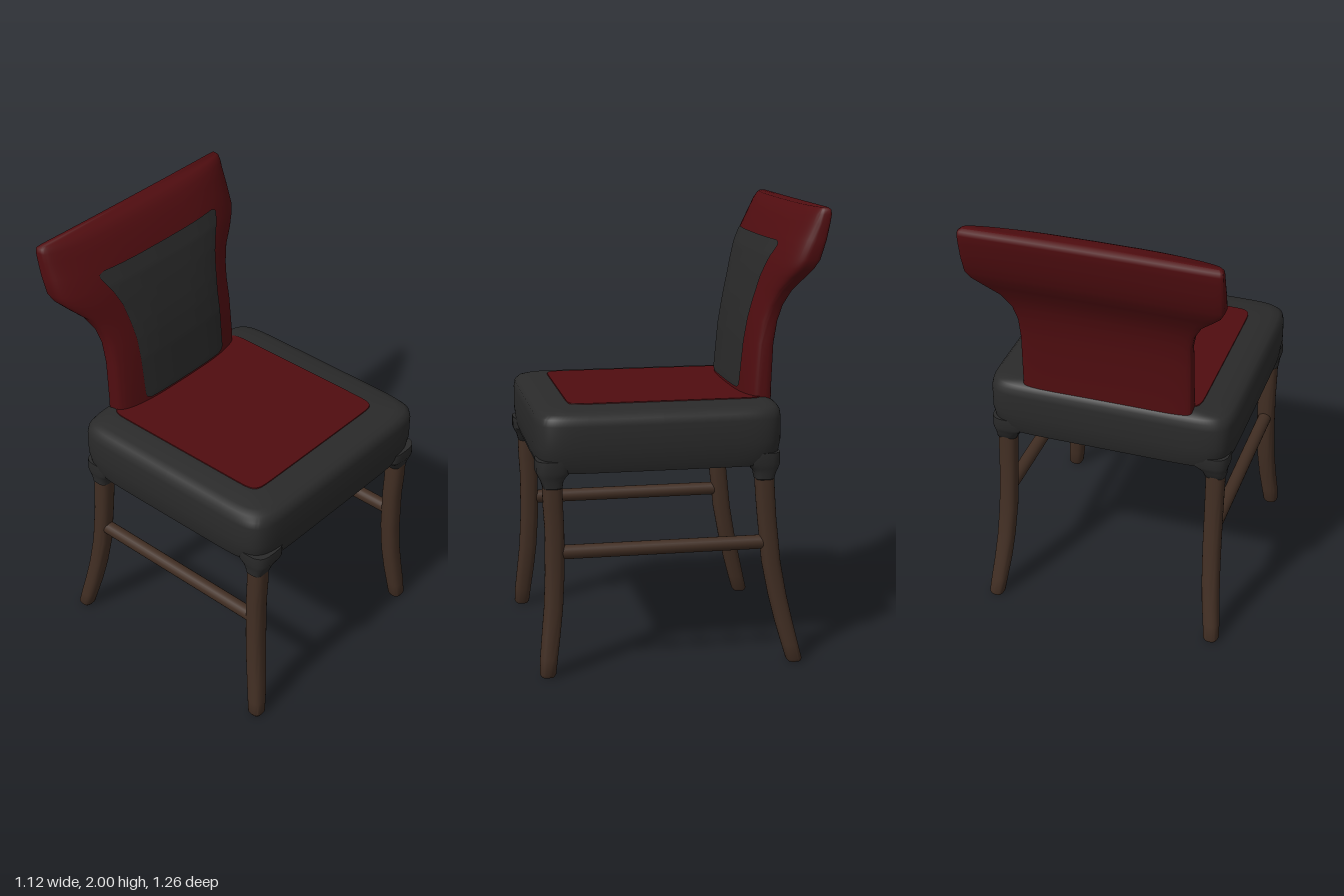
import * as THREE from 'three';
import { toCreasedNormals } from 'three/addons/utils/BufferGeometryUtils.js';

const material = (name, color) => {
  const m = new THREE.MeshStandardMaterial({ color });
  m.name = name;
  return m;
};

// Rounded-rectangle loop (superellipse of power n) around the y axis
const unitLoop = (count, n) => Array.from({ length: count }, (_, i) => {
  const a = (i / count) * Math.PI * 2;
  const f = (v) => Math.sign(v) * Math.pow(Math.abs(v), 2 / n);
  return [f(Math.cos(a)), f(Math.sin(a))];
});

// Ring at height y with centre (cx, cz) and half sizes (hx, hz)
const ring = (y, cx, cz, hx, hz, n = 3, count = 24) =>
  unitLoop(count, n).map(([u, v]) => [cx + hx * u, y, cz + hz * v]);

// Skin a stack of rings from bottom to top, with caps
function loft(rings, crease = 0.7) {
  const n = rings[0].length, last = rings.length - 1;
  const pos = rings.flat(2), idx = [];
  for (let r = 0; r < last; r++) for (let j = 0; j < n; j++) {
    const a = r * n + j, b = r * n + (j + 1) % n;
    idx.push(a, a + n, b, b, a + n, b + n);
  }
  [0, last].forEach((r) => {
    const c = pos.length / 3;
    for (let k = 0; k < 3; k++) pos.push(rings[r].reduce((s, p) => s + p[k], 0) / n);
    for (let j = 0; j < n; j++) {
      const a = r * n + j, b = r * n + (j + 1) % n;
      idx.push(c, r ? b : a, r ? a : b);
    }
  });
  const g = new THREE.BufferGeometry();
  g.setAttribute('position', new THREE.Float32BufferAttribute(pos, 3));
  g.setIndex(idx);
  return toCreasedNormals(g, crease);
}

// Linear lookup in rows of [y, ...values]
function lookup(rows, y) {
  let i = 0;
  while (i < rows.length - 2 && y > rows[i + 1][0]) i++;
  const [a, b] = [rows[i], rows[i + 1]];
  const t = THREE.MathUtils.clamp((y - a[0]) / (b[0] - a[0]), 0, 1);
  return a.map((v, k) => v + (b[k] - v) * t);
}

// Backrest: y, half width, front z, rear z, how far the sides sweep back
const BACK = [
  [1.10, 0.385, -0.300, -0.43, 0.03], [1.20, 0.385, -0.302, -0.43, 0.03],
  [1.40, 0.383, -0.320, -0.437, 0.03], [1.50, 0.386, -0.335, -0.45, 0.035],
  [1.57, 0.402, -0.349, -0.467, 0.04], [1.64, 0.440, -0.366, -0.495, 0.05],
  [1.70, 0.500, -0.382, -0.535, 0.06], [1.74, 0.537, -0.394, -0.56, 0.07],
  [1.78, 0.557, -0.406, -0.58, 0.075], [1.86, 0.56, -0.442, -0.605, 0.07],
  [1.93, 0.56, -0.482, -0.62, 0.06], [1.97, 0.56, -0.508, -0.628, 0.05],
  [1.99, 0.557, -0.530, -0.627, 0.04], [2.00, 0.545, -0.550, -0.615, 0.03],
];
const BACK_POWER = 5;
const sweep = (u) => Math.pow(Math.abs(u), 3);

function backFront(x, y) {
  const [, hw, zf, zb, s] = lookup(BACK, y);
  const u = x / hw;
  const v = Math.pow(1 - Math.pow(Math.abs(u), BACK_POWER), 1 / BACK_POWER);
  return (zf + zb) / 2 + (zf - zb) / 2 * v - s * sweep(u);
}

function backrestGeometry() {
  return loft(BACK.map(([y, hw, zf, zb, s]) => unitLoop(80, BACK_POWER).map(([u, v]) => [
    hw * u, y,
    (zf + zb) / 2 + (zf - zb) / 2 * v - s * sweep(u) * (v > 0 ? 1 : 0.25 + 0.75 * (1 + v)),
  ])), 0.9);
}

// Inset cloth panel that follows the front of the backrest: y, half width
const PANEL = [
  [1.185, 0.225], [1.192, 0.247], [1.21, 0.257], [1.35, 0.26], [1.50, 0.264],
  [1.60, 0.28], [1.68, 0.298], [1.75, 0.328], [1.80, 0.357], [1.825, 0.37],
  [1.838, 0.368], [1.848, 0.34],
];

function panelGeometry() {
  const g = new THREE.PlaneGeometry(2, 1, 24, 60);
  const p = g.attributes.position;
  for (let i = 0; i < p.count; i++) {
    const y = 1.185 + (p.getY(i) + 0.5) * 0.663;
    const x = p.getX(i) * lookup(PANEL, y)[1];
    p.setXYZ(i, x, y, backFront(x, y) + 0.006);
  }
  g.computeVertexNormals();
  return g;
}

// Seat cushion: y, half width, front z, rear z, corner power
const SEAT = [
  [0.89, 0.515, 0.58, -0.405, 9], [0.895, 0.54, 0.605, -0.43, 9], [0.93, 0.552, 0.617, -0.442, 10],
  [1.00, 0.56, 0.625, -0.45, 11], [1.10, 0.56, 0.625, -0.45, 11], [1.13, 0.554, 0.62, -0.446, 11],
  [1.147, 0.538, 0.603, -0.435, 11], [1.157, 0.505, 0.57, -0.42, 12], [1.167, 0.41, 0.475, -0.40, 16],
];
const slab = ([y, hx, front, rear, n]) =>
  ring(y, 0, (front + rear) / 2, hx, (front - rear) / 2, n, 96);

// Legs: y, x, z, half width
const FRONT_LEG = [
  [0, 0.525, 0.592, 0.028], [0.012, 0.525, 0.592, 0.035], [0.08, 0.518, 0.586, 0.038],
  [0.18, 0.506, 0.574, 0.04], [0.30, 0.496, 0.561, 0.041], [0.45, 0.489, 0.553, 0.042],
  [0.65, 0.487, 0.552, 0.042], [0.75, 0.487, 0.557, 0.043], [0.90, 0.487, 0.56, 0.043],
];
const BACK_LEG = [
  [0, 0.525, -0.505, 0.028], [0.012, 0.525, -0.503, 0.035], [0.08, 0.518, -0.485, 0.037],
  [0.18, 0.506, -0.459, 0.039], [0.30, 0.496, -0.431, 0.04], [0.45, 0.489, -0.403, 0.041],
  [0.65, 0.487, -0.382, 0.041], [0.75, 0.487, -0.374, 0.042], [0.90, 0.487, -0.365, 0.043],
];
const legGeometry = (rows, side) =>
  loft(rows.map(([y, x, z, r]) => ring(y, x * side, z, r, r, 2.6)));

// Cloth sleeve flaring from the top of a leg into the seat corner
const sleeveGeometry = (side, z, dir) => loft([
  [0.828, 0.487, 0, 0.042], [0.832, 0.487, 0, 0.047], [0.86, 0.483, 0.002, 0.054],
  [0.88, 0.474, 0.0, 0.068], [0.90, 0.463, -0.006, 0.085], [0.95, 0.46, -0.01, 0.088],
].map(([y, x, dz, r]) => ring(y, x * side, z + dz * dir, r, r * 0.9, 3.2)));

// Four-pointed lining reaching towards the corners of the underside
function liningGeometry() {
  const s = new THREE.Shape();
  const [w, d] = [0.43, 0.43];
  s.moveTo(w, d);
  s.quadraticCurveTo(0, d * 0.45, -w, d);
  s.quadraticCurveTo(-w * 0.45, 0, -w, -d);
  s.quadraticCurveTo(0, -d * 0.45, w, -d);
  s.quadraticCurveTo(w * 0.45, 0, w, d);
  return new THREE.ShapeGeometry(s).rotateX(Math.PI / 2).translate(0, 0.882, 0.09);
}

export function createModel() {
  const red = material('dark red upholstery', 0x500d10);
  const charcoal = material('charcoal upholstery', 0x2a2a2a);
  const wood = material('brown wood', 0x412e23);

  const chair = new THREE.Group();
  chair.name = 'chair';
  const add = (name, geometry, mat) => {
    const mesh = new THREE.Mesh(geometry, mat);
    mesh.name = name;
    chair.add(mesh);
  };

  // Seat
  add('seat', loft(SEAT.map(slab)), charcoal);
  add('seatTopPanel', loft([[1.164, 0.41, 0.475, -0.38, 18], [1.171, 0.408, 0.473, -0.378, 18]].map(slab)), red);
  add('seatUnderside', loft([[0.885, 0.45, 0.53, -0.35, 12], [0.892, 0.45, 0.53, -0.35, 12]].map(slab)), wood);
  add('undersideLining', liningGeometry(), charcoal);

  // Backrest
  add('backrest', backrestGeometry(), red);
  add('backrestPanel', panelGeometry(), charcoal);

  // Legs, sleeves and side stretchers
  for (const [side, label] of [[1, 'left'], [-1, 'right']]) {
    add(label + 'FrontLeg', legGeometry(FRONT_LEG, side), wood);
    add(label + 'BackLeg', legGeometry(BACK_LEG, side), wood);
    add(label + 'FrontSleeve', sleeveGeometry(side, 0.558, 1), charcoal);
    add(label + 'BackSleeve', sleeveGeometry(side, -0.367, -1), charcoal);
    const bar = new THREE.CylinderGeometry(0.031, 0.031, 0.93, 20)
      .rotateX(Math.PI / 2).translate(0.488 * side, 0.542, 0.08);
    add(label + 'Stretcher', bar, wood);
  }
  return chair;
}
